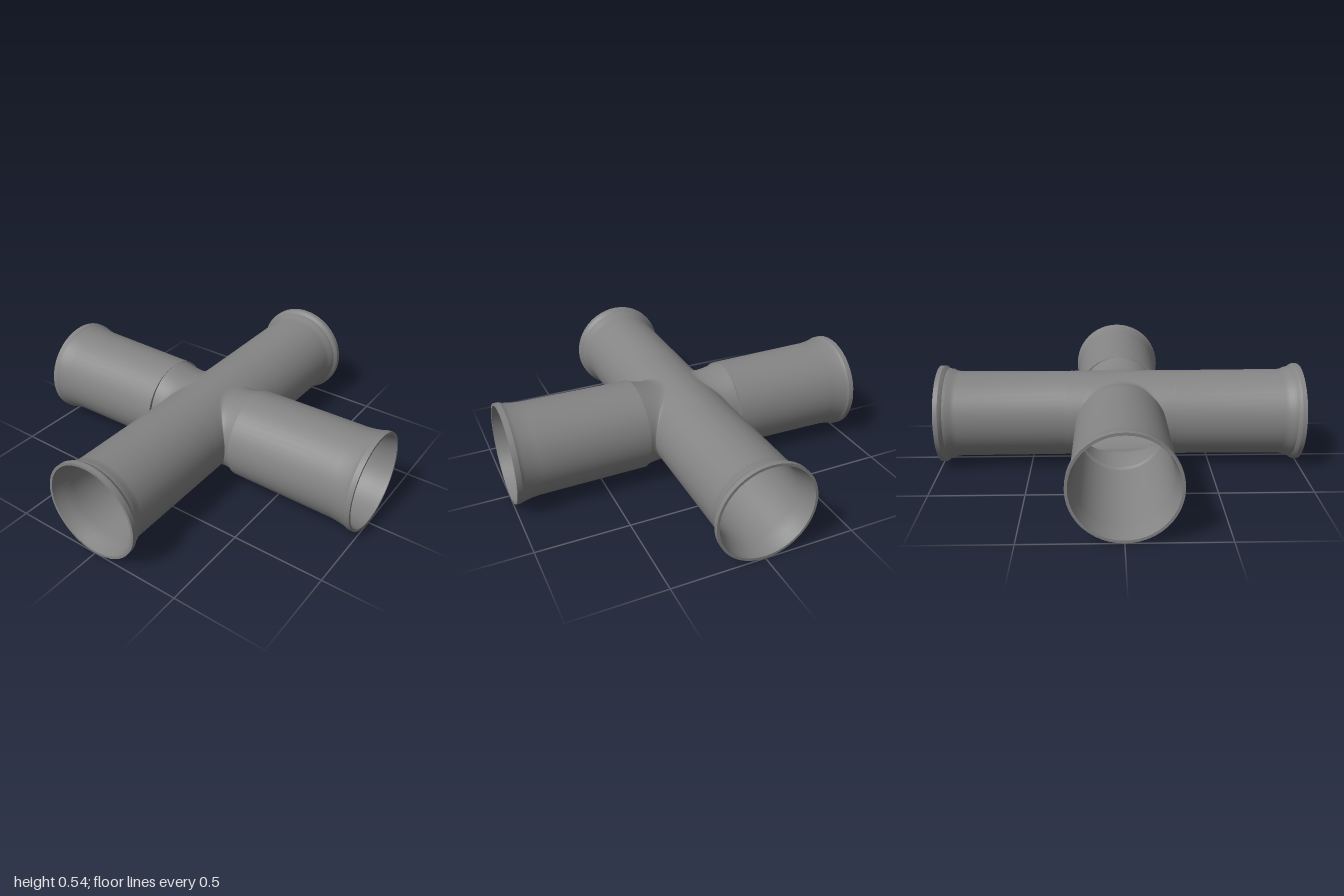
import * as THREE from 'three';
import { toCreasedNormals } from 'three/addons/utils/BufferGeometryUtils.js';

const SEG = 48;        // sides of every tube
const HALF = 0.3;      // half length of the centre section
const AXIS_Y = 0.27;   // height of the pipe axes

const material = new THREE.MeshStandardMaterial({ color: 0x848484, side: THREE.DoubleSide });

// Tube wall turned from [radius, distance] pairs, laid along +z
function turnedTube(profile) {
  const points = profile.map(([r, d]) => new THREE.Vector2(r, d));
  const geo = new THREE.LatheGeometry(points, SEG);
  geo.rotateX(Math.PI / 2);
  return toCreasedNormals(geo, 0.5);
}

// Slightly squared sine or cosine, for the rounded opening
const squared = (v) => Math.sign(v) * Math.abs(v) ** 0.85;

// Half of the centre section: half-round wall with a rounded opening that
// blends into a neck reaching out along +x
function saddle({ R, holeY, holeZ, endY, endZ, endX, inward }) {
  const N = SEG * 2, wallRings = 8, neckRings = 8;
  const corners = [[1, -1], [1, 1], [-1, 1], [-1, -1]];
  const pos = [], index = [];
  for (let j = 0; j <= wallRings + neckRings; j++) {
    for (let k = 0; k < N; k++) {
      const t = (k / N) * Math.PI * 2 - Math.PI / 4;
      const hz = holeZ * squared(Math.cos(t)), hy = holeY * squared(Math.sin(t));
      if (j <= wallRings) {
        // From the rectangular border of the wall to the opening
        const side = Math.floor(k / (N / 4)), f = (k % (N / 4)) / (N / 4);
        const c = corners[side], d = corners[(side + 1) % 4];
        const u = THREE.MathUtils.lerp(c[0], d[0], f);
        const v = THREE.MathUtils.lerp(c[1], d[1], f);
        const s = j / wallRings;
        const a = THREE.MathUtils.lerp(v * Math.PI / 2, Math.asin(hy / R), s);
        const z = THREE.MathUtils.lerp(u * HALF, hz, s);
        pos.push(R * Math.cos(a), R * Math.sin(a), z);
      } else {
        // Curve leaving the wall along its tangent and ending at the neck rim
        const hx = Math.sqrt(R * R - hy * hy);
        const curve = new THREE.QuadraticBezierCurve3(
          new THREE.Vector3(hx, hy, hz),
          new THREE.Vector3(hx + 0.08 * hy * hy / hx, 0.92 * hy, 0.98 * hz),
          new THREE.Vector3(endX, endY * Math.sin(t), endZ * Math.cos(t))
        );
        pos.push(...curve.getPoint((j - wallRings) / neckRings).toArray());
      }
    }
  }
  for (let j = 0; j < wallRings + neckRings; j++) {
    for (let k = 0; k < N; k++) {
      const a = j * N + k, b = j * N + (k + 1) % N, c = b + N, d = a + N;
      if (inward) index.push(a, b, c, a, c, d);
      else index.push(a, d, c, a, c, b);
    }
  }
  const geo = new THREE.BufferGeometry();
  geo.setAttribute('position', new THREE.Float32BufferAttribute(pos, 3));
  geo.setIndex(index);
  geo.computeVertexNormals();
  return geo;
}

export function createModel() {
  const model = new THREE.Group();
  model.name = 'pipeCross';

  const add = (name, geometry, turn) => {
    const mesh = new THREE.Mesh(geometry, material);
    mesh.name = name;
    mesh.position.y = AXIS_Y;
    mesh.rotation.y = turn;
    model.add(mesh);
  };

  // Straight main run with a stepped socket lip
  const mainTube = turnedTube([
    [0.235, HALF], [0.238, 0.89], [0.242, 0.915], [0.252, 0.935], [0.255, 0.955],
    [0.264, 0.965], [0.27, 0.975], [0.27, 1.0], [0.256, 1.0],
    [0.25, 0.975], [0.238, 0.94], [0.226, 0.89], [0.222, HALF]
  ]);

  // Wider side branch with a flared rim and an end wall around the neck
  const branchTube = turnedTube([
    [0.222, 0.27], [0.245, 0.27], [0.251, 0.87], [0.255, 0.91], [0.262, 0.95],
    [0.266, 0.965], [0.27, 0.972], [0.27, 1.0], [0.256, 1.0],
    [0.252, 0.975], [0.245, 0.94], [0.238, 0.89], [0.232, 0.285], [0.222, 0.27]
  ]);

  // Centre section walls
  const outerWall = saddle({
    R: 0.235, holeY: 0.215, holeZ: 0.222, endY: 0.245, endZ: 0.226, endX: 0.272, inward: false
  });
  const innerWall = saddle({
    R: 0.222, holeY: 0.195, holeZ: 0.207, endY: 0.224, endZ: 0.222, endX: 0.272, inward: true
  });

  add('frontPipe', mainTube, 0);
  add('backPipe', mainTube, Math.PI);
  for (const [side, turn] of [['left', 0], ['right', Math.PI]]) {
    add(side + 'Branch', branchTube, turn + Math.PI / 2);
    add(side + 'JunctionOuterWall', outerWall, turn);
    add(side + 'JunctionInnerWall', innerWall, turn);
  }
  return model;
}
